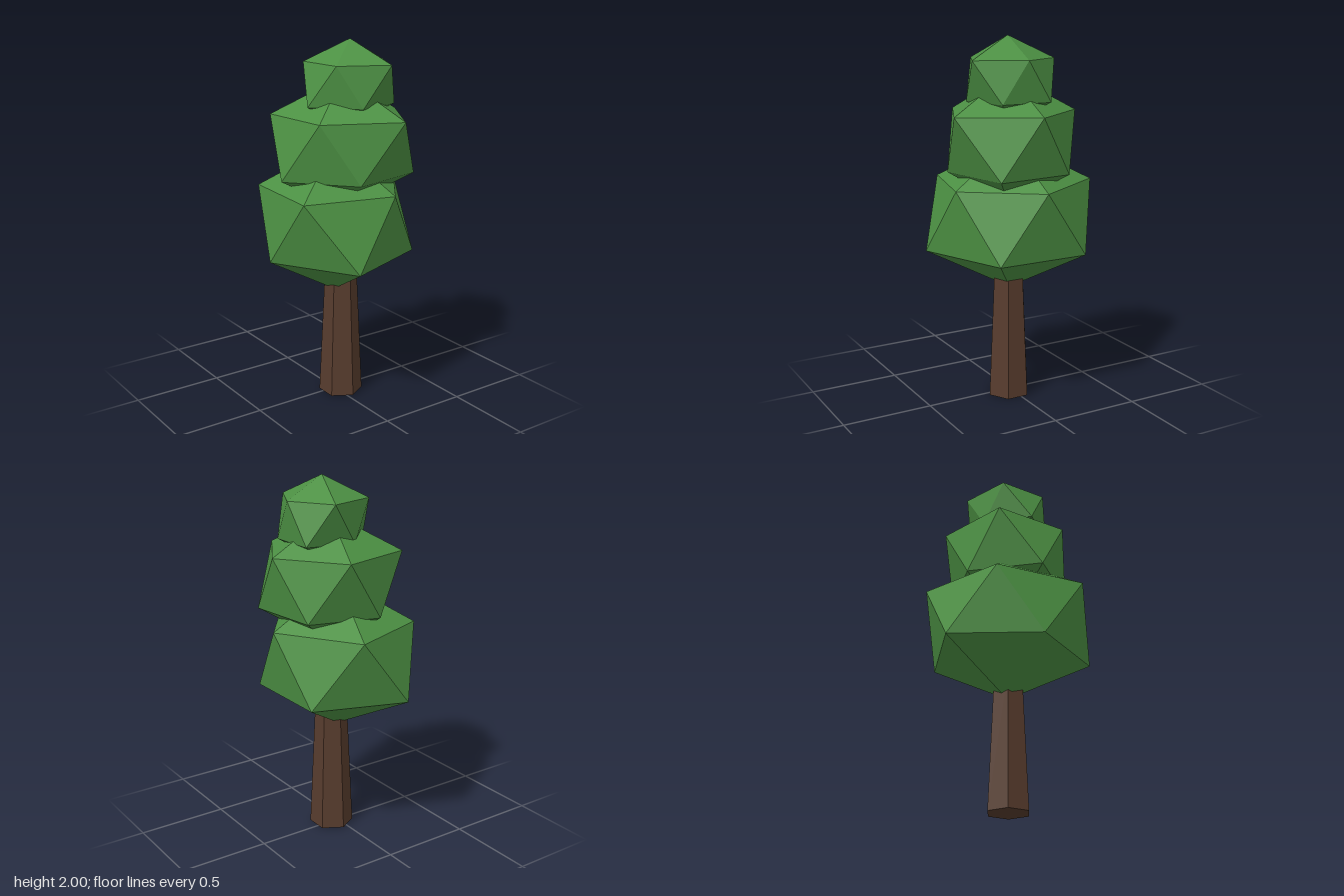
import * as THREE from 'three';

// Faceted foliage clump: a pole, two staggered rings of five [x, z] points, a pole.
function clump({ top, bottom, upperY, lowerY, centre, upper, lower }) {
  const pole = (y) => [centre[0], y, centre[1]];
  const u = upper.map(([x, z]) => [x, upperY, z]);
  const l = lower.map(([x, z]) => [x, lowerY, z]);
  const positions = [];
  const face = (...corners) => corners.forEach((c) => positions.push(...c));
  for (let i = 0; i < 5; i++) {
    const j = (i + 1) % 5;
    face(pole(top), u[j], u[i]);
    face(u[i], u[j], l[i]);
    face(l[i], u[j], l[j]);
    face(l[i], l[j], pole(bottom));
  }
  const geometry = new THREE.BufferGeometry();
  geometry.setAttribute('position', new THREE.Float32BufferAttribute(positions, 3));
  geometry.computeVertexNormals();
  return geometry;
}

const CLUMPS = {
  lowerFoliage: {
    top: 1.44, bottom: 0.61, upperY: 1.21, lowerY: 0.84, centre: [0, 0],
    upper: [[0.41, 0], [0.12, 0.385], [-0.37, 0.26], [-0.33, -0.25], [0.14, -0.435]],
    lower: [[0.355, 0.25], [-0.145, 0.44], [-0.41, -0.01], [-0.145, -0.445], [0.355, -0.27]],
  },
  middleFoliage: {
    top: 1.8, bottom: 1.08, upperY: 1.6, lowerY: 1.28, centre: [0.035, 0.025],
    upper: [[0.395, 0.02], [0.16, 0.41], [-0.245, 0.22], [-0.275, -0.205], [0.145, -0.325]],
    lower: [[0.355, 0.245], [-0.07, 0.34], [-0.35, 0.02], [-0.07, -0.29], [0.315, -0.185]],
  },
  topFoliage: {
    top: 2, bottom: 1.54, upperY: 1.88, lowerY: 1.66, centre: [0.067, 0.048],
    upper: [[0.285, 0.045], [0.15, 0.3], [-0.11, 0.175], [-0.13, -0.1], [0.145, -0.19]],
    lower: [[0.26, 0.185], [0, 0.26], [-0.2, 0.045], [0, -0.155], [0.265, -0.1]],
  },
};

export function createModel() {
  const tree = new THREE.Group();
  tree.name = 'tree';

  const bark = new THREE.MeshStandardMaterial({ color: 0x573c2d, flatShading: true });
  bark.name = 'bark brown';
  const leaf = new THREE.MeshStandardMaterial({ color: 0x4c9043, flatShading: true });
  leaf.name = 'leaf green';

  // Tapered six-sided trunk, its top buried in the foliage
  const trunk = new THREE.Mesh(new THREE.CylinderGeometry(0.087, 0.122, 0.76, 6), bark);
  trunk.name = 'trunk';
  trunk.position.set(0.03, 0.38, 0.022);
  tree.add(trunk);

  // Three stacked clumps, smaller towards the top
  for (const [name, shape] of Object.entries(CLUMPS)) {
    const mesh = new THREE.Mesh(clump(shape), leaf);
    mesh.name = name;
    tree.add(mesh);
  }
  return tree;
}
